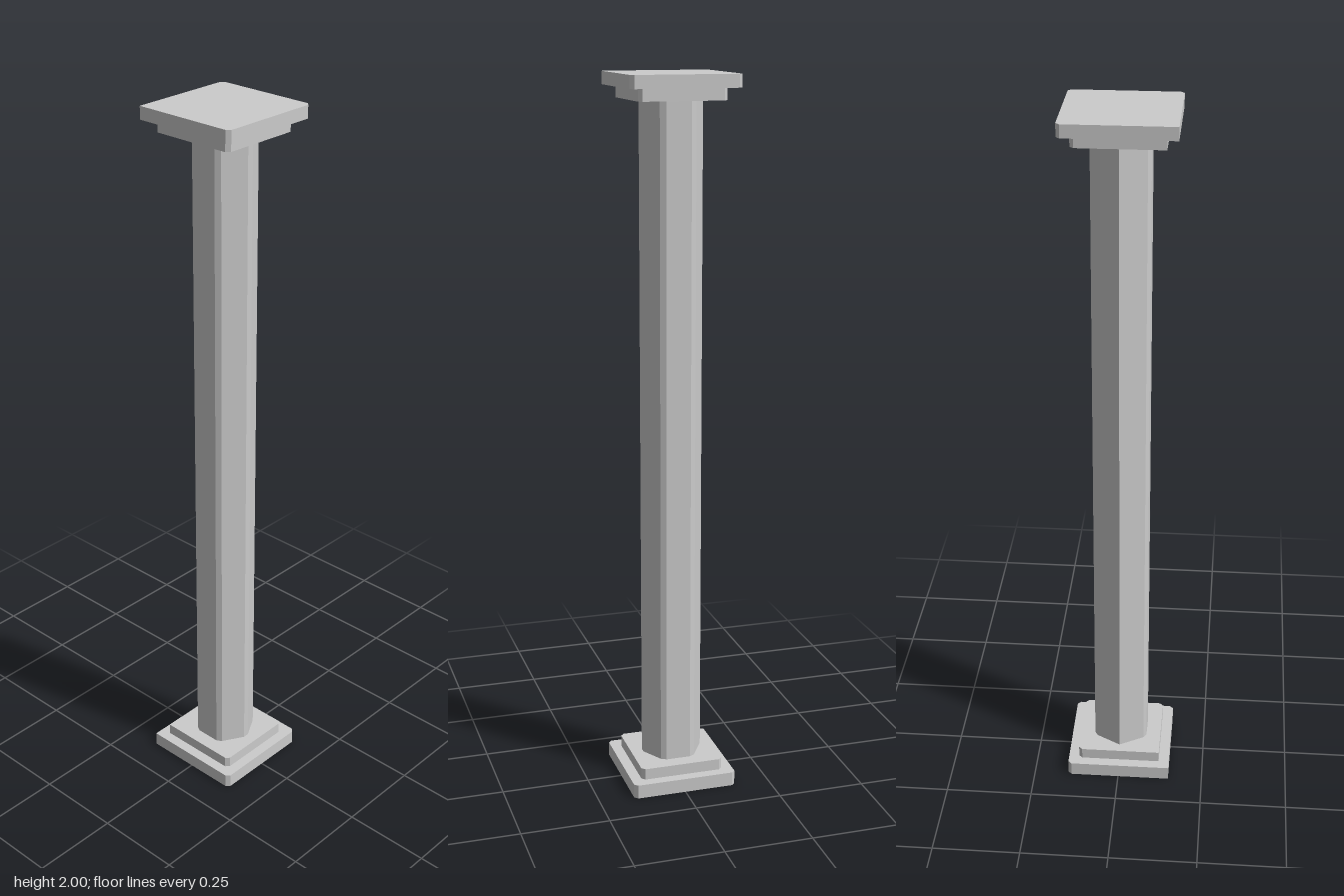
import * as THREE from 'three';

const material = new THREE.MeshStandardMaterial({ color: 0xcccccc, flatShading: true });
const CHAMFER = 0.01;

// Regular polygon outline; every corner is clipped except the first
function clippedPolygon(sides, radius, startAngle) {
  const corners = [];
  for (let i = 0; i < sides; i++) {
    const a = startAngle + (i / sides) * Math.PI * 2;
    corners.push(new THREE.Vector2(Math.cos(a) * radius, Math.sin(a) * radius));
  }
  const points = [corners[0]];
  for (let i = 1; i < sides; i++) {
    for (const other of [corners[i - 1], corners[(i + 1) % sides]]) {
      const step = other.clone().sub(corners[i]).setLength(CHAMFER);
      points.push(corners[i].clone().add(step));
    }
  }
  return new THREE.Shape(points);
}

// Upright prism between two heights
function prism(name, shape, y0, y1) {
  const geometry = new THREE.ExtrudeGeometry(shape, { depth: y1 - y0, bevelEnabled: false });
  geometry.rotateX(-Math.PI / 2);
  geometry.translate(0, y0, 0);
  const mesh = new THREE.Mesh(geometry, material);
  mesh.name = name;
  return mesh;
}

export function createModel() {
  const group = new THREE.Group();
  group.name = 'column';

  // Square slabs, with the unclipped corner at front right
  const square = (half) => clippedPolygon(4, half * Math.SQRT2, Math.PI * 1.25);
  const wide = square(0.15);
  const narrow = square(0.12);

  // Stepped base
  group.add(prism('basePlinth', wide, 0, 0.04));
  group.add(prism('baseStep', narrow, 0.04, 0.072));

  // Hexagonal shaft, with the unclipped edge at -x
  group.add(prism('shaft', clippedPolygon(6, 0.09, Math.PI), 0.072, 1.932));

  // Stepped capital
  group.add(prism('capitalStep', narrow, 1.932, 1.965));
  group.add(prism('capitalSlab', wide, 1.965, 2));

  return group;
}
